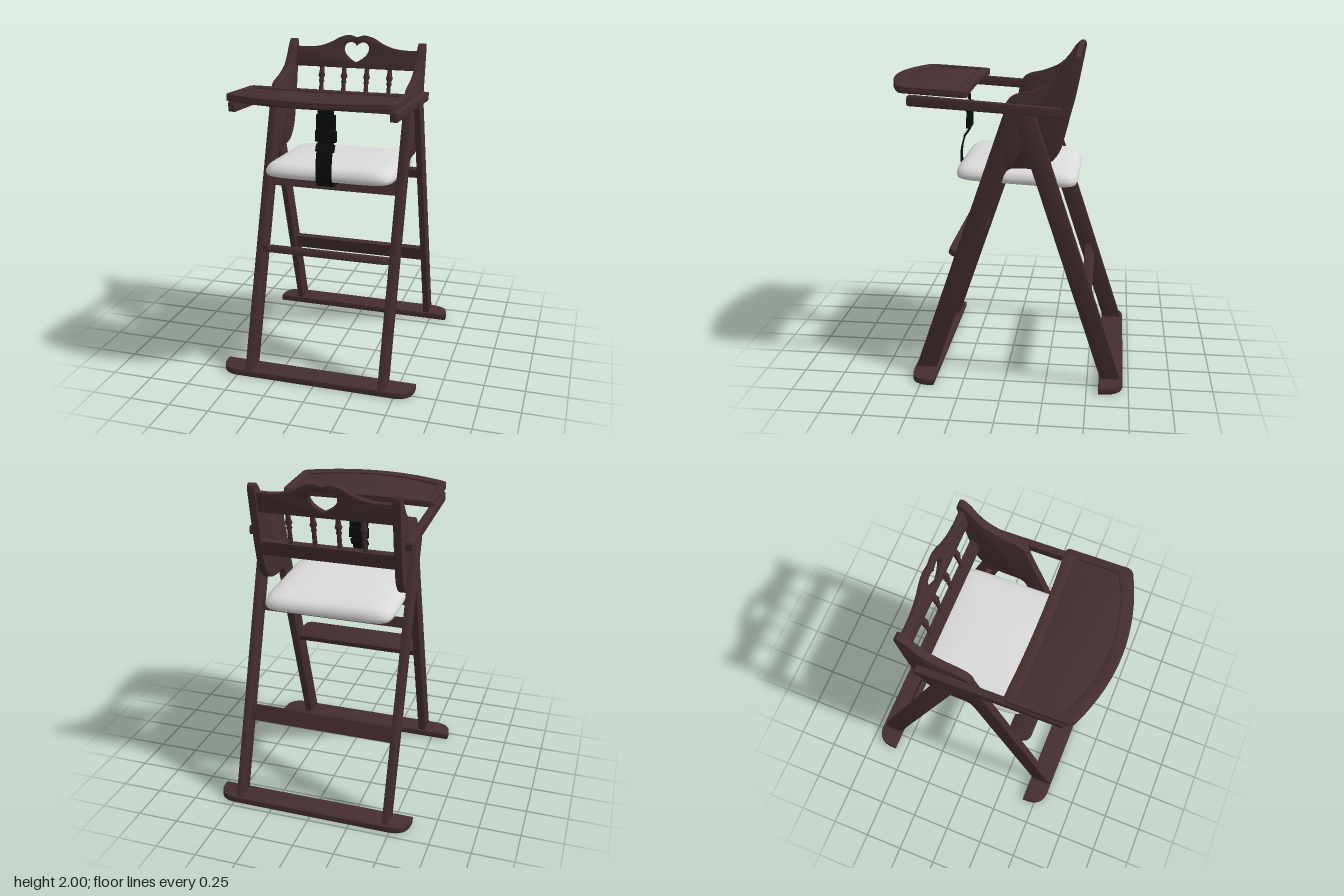
import * as THREE from 'three';
import { toCreasedNormals } from 'three/addons/utils/BufferGeometryUtils.js';

const mat = (name, color, side = THREE.FrontSide) => {
  const m = new THREE.MeshStandardMaterial({ color, side });
  m.name = name;
  return m;
};
const v = (x, y) => new THREE.Vector2(x, y);

export function createModel() {
  const wood = mat('dark wood', 0x452e2f);
  const fabric = mat('pale cushion', 0xdadada);
  const strapMat = mat('black webbing', 0x0b0c0c, THREE.DoubleSide);
  const root = new THREE.Group();
  root.name = 'highChair';

  const add = (name, geo, material = wood, parent = root) => {
    const mesh = new THREE.Mesh(geo, material);
    mesh.name = name;
    parent.add(mesh);
    return mesh;
  };
  const extrude = (shape, depth, bevel = 0.004) => {
    const g = new THREE.ExtrudeGeometry(shape, {
      depth: depth - 2 * bevel, bevelEnabled: bevel > 0, bevelThickness: bevel,
      bevelSize: bevel, bevelOffset: -bevel, bevelSegments: 2, curveSegments: 16,
    });
    g.translate(0, 0, bevel);
    return toCreasedNormals(g, 0.6);
  };
  // side profile in (z, y), running from x0 to x1
  const side = (shape, x0, x1) => extrude(shape, x1 - x0).rotateY(-Math.PI / 2).translate(x1, 0, 0);
  // plan outline in (x, z), top face on y = 0
  const plan = (shape, t, bevel) => extrude(shape, t, bevel).rotateX(Math.PI / 2);
  const bar = (name, w, h, d, y, z, tilt, parent = root) => {
    const m = add(name, new THREE.BoxGeometry(w, h, d), wood, parent);
    m.position.set(0, y, z);
    m.rotation.x = tilt;
    return m;
  };
  // board with its two front corners rounded
  const board = (w, d, r, t) => {
    const s = new THREE.Shape();
    s.moveTo(-w, -d / 2);
    s.lineTo(w, -d / 2);
    s.lineTo(w, d / 2 - r);
    s.quadraticCurveTo(w, d / 2, w - r, d / 2);
    s.lineTo(-w + r, d / 2);
    s.quadraticCurveTo(-w, d / 2, -w, d / 2 - r);
    s.closePath();
    return plan(s, t);
  };

  // floor runners
  add('frontFoot', board(0.61, 0.145, 0.12, 0.04)).position.set(0, 0.04, 0.49);
  const rearFoot = add('rearFoot', board(0.61, 0.145, 0.12, 0.04));
  rearFoot.position.set(0, 0.04, -0.643);
  rearFoot.rotation.y = Math.PI;

  // front leg and side panel cut from one piece
  const legPanel = new THREE.Shape();
  legPanel.moveTo(0.555, 0.04);
  legPanel.lineTo(0.43, 0.04);
  legPanel.lineTo(0.013, 1.26);
  legPanel.quadraticCurveTo(-0.005, 1.32, -0.05, 1.322);
  legPanel.lineTo(-0.15, 1.322);
  legPanel.splineThru([v(-0.24, 1.345), v(-0.31, 1.42), v(-0.345, 1.53), v(-0.375, 1.66), v(-0.425, 1.925)]);
  legPanel.quadraticCurveTo(-0.43, 1.975, -0.39, 1.965);
  legPanel.splineThru([v(-0.355, 1.93), v(-0.31, 1.865), v(-0.25, 1.81), v(-0.155, 1.77),
    v(-0.06, 1.747), v(-0.02, 1.72), v(0, 1.685), v(0.01, 1.634)]);
  legPanel.closePath();

  const rearLeg = new THREE.Shape([v(-0.58, 0.04), v(-0.70, 0.04), v(-0.18, 1.62), v(-0.165, 1.64),
    v(-0.07, 1.645), v(-0.057, 1.63)]);

  const arm = new THREE.Shape();
  arm.moveTo(-0.425, -0.03);
  arm.lineTo(0.425, -0.03);
  arm.quadraticCurveTo(0.438, -0.03, 0.438, -0.015);
  arm.lineTo(0.438, 0.018);
  arm.quadraticCurveTo(0.438, 0.03, 0.425, 0.03);
  arm.lineTo(-0.425, 0.024);
  arm.quadraticCurveTo(-0.438, 0.024, -0.438, 0.01);
  arm.lineTo(-0.438, -0.015);
  arm.quadraticCurveTo(-0.438, -0.03, -0.425, -0.03);

  for (const [label, s] of [['left', 1], ['right', -1]]) {
    const span = (a, b) => (s > 0 ? [a, b] : [-b, -a]);
    add(label + 'FrontLegAndSidePanel', side(legPanel, ...span(0.40, 0.447)));
    add(label + 'RearLeg', side(rearLeg, ...span(0.45, 0.488)));
    const a = add(label + 'Arm', side(arm, ...span(0.449, 0.491)));
    a.position.set(0, 1.683, 0.118);
    a.rotation.x = -0.06;
  }

  // cross rails and footrest
  const frontTilt = -0.33, rearTilt = 0.318;
  bar('rearLegRail', 0.9, 0.095, 0.035, 0.53, -0.48, rearTilt);
  bar('frontSeatRail', 0.8, 0.115, 0.035, 1.178, 0.10, frontTilt);
  bar('rearSeatRail', 0.9, 0.06, 0.035, 1.165, -0.265, rearTilt);
  const footrest = add('footrest', board(0.4, 0.15, 0.06, 0.04));
  footrest.position.set(0, 0.779, 0.274);
  footrest.rotation.x = frontTilt;

  // backrest: lower rail, turned spindles, crest with heart cut-out
  const back = new THREE.Group();
  back.name = 'backrest';
  back.position.set(0, 1.565, -0.325);
  back.rotation.x = -0.2;
  root.add(back);
  bar('lowerBackRail', 0.8, 0.09, 0.04, 0, 0, 0, back);
  const spindle = new THREE.LatheGeometry([[0.014, 0.04], [0.014, 0.1], [0.012, 0.13], [0.018, 0.145],
    [0.013, 0.16], [0.022, 0.18], [0.016, 0.2], [0.014, 0.24]].map(p => v(...p)), 14);
  for (const x of [-0.225, -0.075, 0.075, 0.225]) add('spindle', spindle, wood, back).position.x = x;

  const crest = new THREE.Shape();
  crest.moveTo(-0.4, 0.235);
  crest.lineTo(0.4, 0.235);
  crest.lineTo(0.4, 0.362);
  crest.splineThru([v(0.32, 0.36), v(0.24, 0.37), v(0.17, 0.395), v(0.11, 0.428), v(0.05, 0.443),
    v(0, 0.432), v(-0.05, 0.443), v(-0.11, 0.428), v(-0.17, 0.395), v(-0.24, 0.37), v(-0.32, 0.36), v(-0.4, 0.362)]);
  crest.closePath();
  const heart = new THREE.Path();
  heart.moveTo(0, 0.272);
  heart.bezierCurveTo(-0.04, 0.29, -0.083, 0.32, -0.083, 0.36);
  heart.bezierCurveTo(-0.083, 0.41, -0.015, 0.41, 0, 0.378);
  heart.bezierCurveTo(0.015, 0.41, 0.083, 0.41, 0.083, 0.36);
  heart.bezierCurveTo(0.083, 0.32, 0.04, 0.29, 0, 0.272);
  crest.holes.push(heart);
  add('crestPanel', extrude(crest, 0.032).translate(0, 0, -0.016), wood, back);

  // tray: solid slab with a raised rim
  const trayOutline = (P, w, z0, sag, z1, mid, r) => {
    const p = new P();
    p.moveTo(-w + r, z0);
    p.quadraticCurveTo(0, z0 + 2 * sag, w - r, z0);
    p.quadraticCurveTo(w, z0, w, z0 + r);
    p.lineTo(w, z1 - r);
    p.quadraticCurveTo(w, z1, w - r, z1 + r * 0.4);
    p.quadraticCurveTo(0, 2 * mid - z1 - r * 0.4, -w + r, z1 + r * 0.4);
    p.quadraticCurveTo(-w, z1, -w, z1 - r);
    p.lineTo(-w, z0 + r);
    p.quadraticCurveTo(-w, z0, -w + r, z0);
    return p;
  };
  const tray = new THREE.Group();
  tray.name = 'tray';
  tray.position.set(0, 1.768, 0.207);
  tray.rotation.x = -0.06;
  root.add(tray);
  const outer = () => trayOutline(THREE.Shape, 0.487, 0, 0.015, 0.395, 0.508, 0.035);
  const rim = outer();
  rim.holes.push(trayOutline(THREE.Path, 0.44, 0.066, 0.012, 0.33, 0.437, 0.03));
  add('trayRim', plan(rim, 0.016, 0.005), wood, tray);
  add('trayBase', plan(outer(), 0.03, 0.005), wood, tray).position.y = -0.01;

  // cushion: rounded-rectangle rings of [inset, height], closed above and below
  const rings = [[0.39, 0], [0.03, 0], [0.006, 0.01], [0, 0.025], [0, 0.042], [0.012, 0.066],
    [0.04, 0.085], [0.1, 0.096], [0.2, 0.101], [0.34, 0.103]];
  const N = 64, pos = [], idx = [];
  rings.forEach(([inset, y], k) => {
    for (let i = 0; i < N; i++) {
      const a = (i / N) * Math.PI * 2 + Math.PI / N;
      const f = t => Math.sign(t) * Math.abs(t) ** 0.22;
      const grow = 1 - inset / 0.4;
      pos.push(f(Math.cos(a)) * 0.4 * grow, y, f(Math.sin(a)) * 0.362 * grow);
      if (k) {
        const j = (i + 1) % N, b = (k - 1) * N, t = k * N;
        idx.push(b + i, t + i, b + j, b + j, t + i, t + j);
      }
    }
  });
  const top = (rings.length - 1) * N;
  for (let i = 1; i < N - 1; i++) idx.push(0, i, i + 1, top, top + i + 1, top + i);
  const cushionGeo = new THREE.BufferGeometry();
  cushionGeo.setAttribute('position', new THREE.Float32BufferAttribute(pos, 3));
  cushionGeo.setIndex(idx);
  cushionGeo.computeVertexNormals();
  const cushion = add('seatCushion', cushionGeo, fabric);
  cushion.position.set(0, 1.208, -0.052);
  cushion.rotation.x = -0.05;

  // crotch strap: ribbon along a (y, z) path, with buckle halves and slider
  const path = new THREE.CatmullRomCurve3([[1.74, 0.275], [1.6, 0.272], [1.47, 0.275], [1.41, 0.305],
    [1.33, 0.325], [1.24, 0.322], [1.2, 0.29], [1.195, 0.2], [1.19, 0.12]]
    .map(([y, z]) => new THREE.Vector3(0, y, z)));
  const ribbon = new THREE.PlaneGeometry(0.1, 1, 1, 40);
  const rp = ribbon.attributes.position;
  for (let i = 0; i < rp.count; i++) {
    const p = path.getPoint(0.5 - rp.getY(i));
    rp.setXYZ(i, rp.getX(i), p.y, p.z);
  }
  ribbon.computeVertexNormals();
  add('crotchStrap', ribbon, strapMat);
  for (const [name, w, h, d, y, z] of [['upperBuckle', 0.115, 0.09, 0.026, 1.585, 0.272],
    ['lowerBuckle', 0.125, 0.065, 0.026, 1.503, 0.274], ['strapSlider', 0.115, 0.045, 0.012, 1.435, 0.29]]) {
    const m = add(name, new THREE.BoxGeometry(w, h, d), strapMat);
    m.position.set(0, y, z);
    if (name === 'strapSlider') m.rotation.x = -0.6;
  }
  return root;
}
